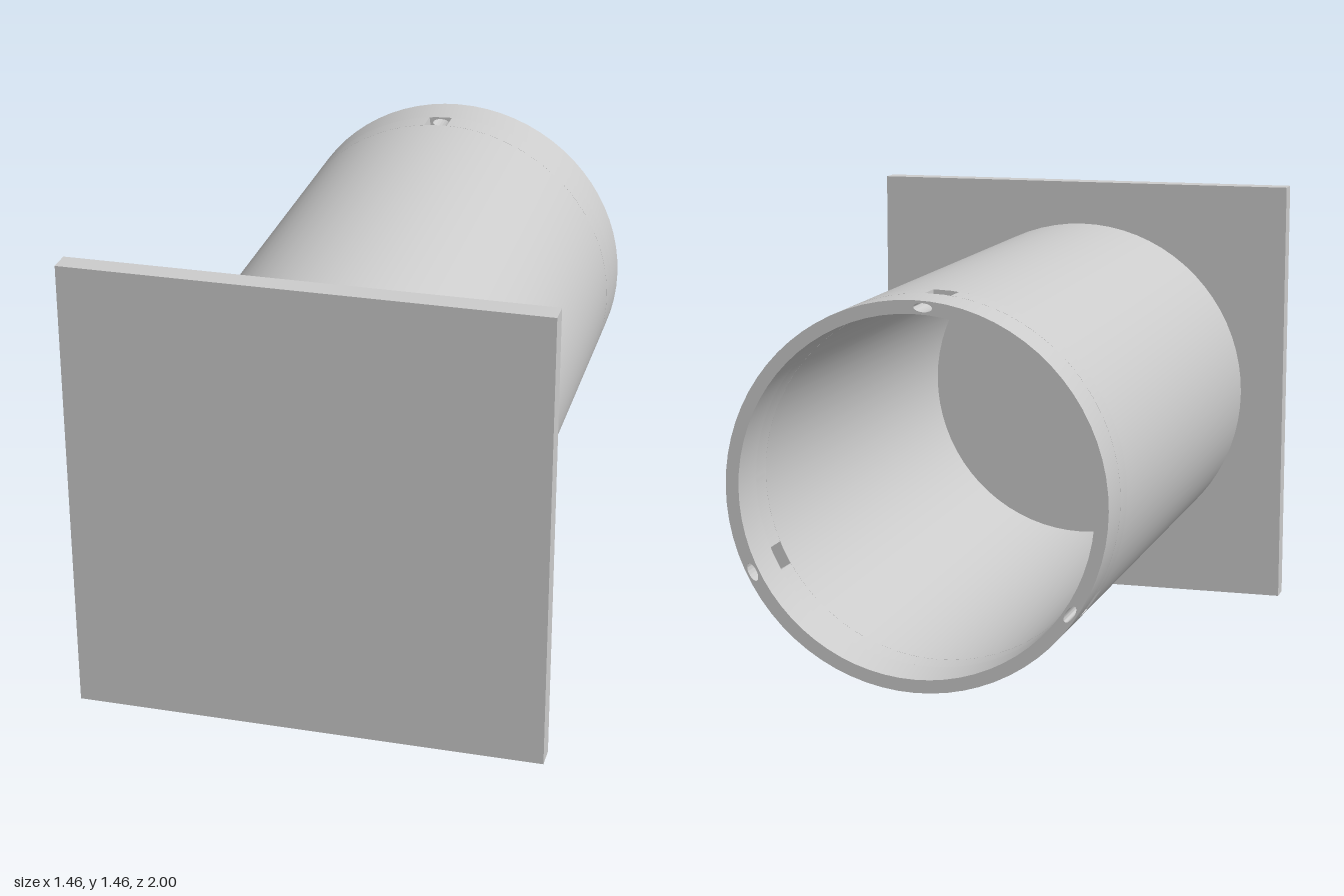
import * as THREE from 'three';
import { toCreasedNormals } from 'three/addons/utils/BufferGeometryUtils.js';

const PLATE = 1.455, PLATE_T = 0.07;
const R = 0.58, WALL = 0.04, CY = PLATE / 2;
const SLOTS = [93.3, 213.3, 333.3].map(THREE.MathUtils.degToRad);
const SLOT_HALF = 0.068; // half angle of a window
const Z_BACK = -1, Z_SLOT0 = -0.86, Z_SLOT1 = -0.78, Z_PLATE = 1 - PLATE_T;

export function createModel() {
  const group = new THREE.Group();
  const mat = new THREE.MeshStandardMaterial({ color: 0xcccccc });

  const add = (name, geo, y, z) => {
    const mesh = new THREE.Mesh(geo, mat);
    mesh.name = name;
    mesh.position.set(0, y, z);
    group.add(mesh);
  };
  const extrude = (shapes, z0, z1) => toCreasedNormals(
    new THREE.ExtrudeGeometry(shapes, { depth: z1 - z0, bevelEnabled: false, curveSegments: 36 }), 0.6);

  const ring = () => {
    const s = new THREE.Shape().absarc(0, 0, R, 0, Math.PI * 2, false);
    s.holes.push(new THREE.Path().absarc(0, 0, R - WALL, 0, Math.PI * 2, true));
    return s;
  };

  // Square end plate
  add('endPlate', new THREE.BoxGeometry(PLATE, PLATE, PLATE_T), CY, 1 - PLATE_T / 2);

  // Plain length of the tube
  add('tubeBody', extrude(ring(), Z_SLOT1, Z_PLATE), CY, Z_SLOT1);

  // Three wall arcs, leaving square windows between them
  const arcs = SLOTS.map((a, i) => {
    const a0 = a + SLOT_HALF;
    const a1 = a + Math.PI * 2 / 3 - SLOT_HALF;
    const s = new THREE.Shape();
    s.absarc(0, 0, R, a0, a1, false);
    s.absarc(0, 0, R - WALL, a1, a0, true);
    s.closePath();
    return s;
  });
  add('windowBand', extrude(arcs, Z_SLOT0, Z_SLOT1), CY, Z_SLOT0);

  // Open rim with a small channel running through the wall to each window
  const rim = ring();
  const mid = R - WALL / 2;
  for (const a of SLOTS) {
    rim.holes.push(new THREE.Path().absellipse(
      mid * Math.cos(a), mid * Math.sin(a), 0.013, 0.028, 0, Math.PI * 2, true, a));
  }
  add('tubeRim', extrude(rim, Z_BACK, Z_SLOT0), CY, Z_BACK);

  return group;
}
